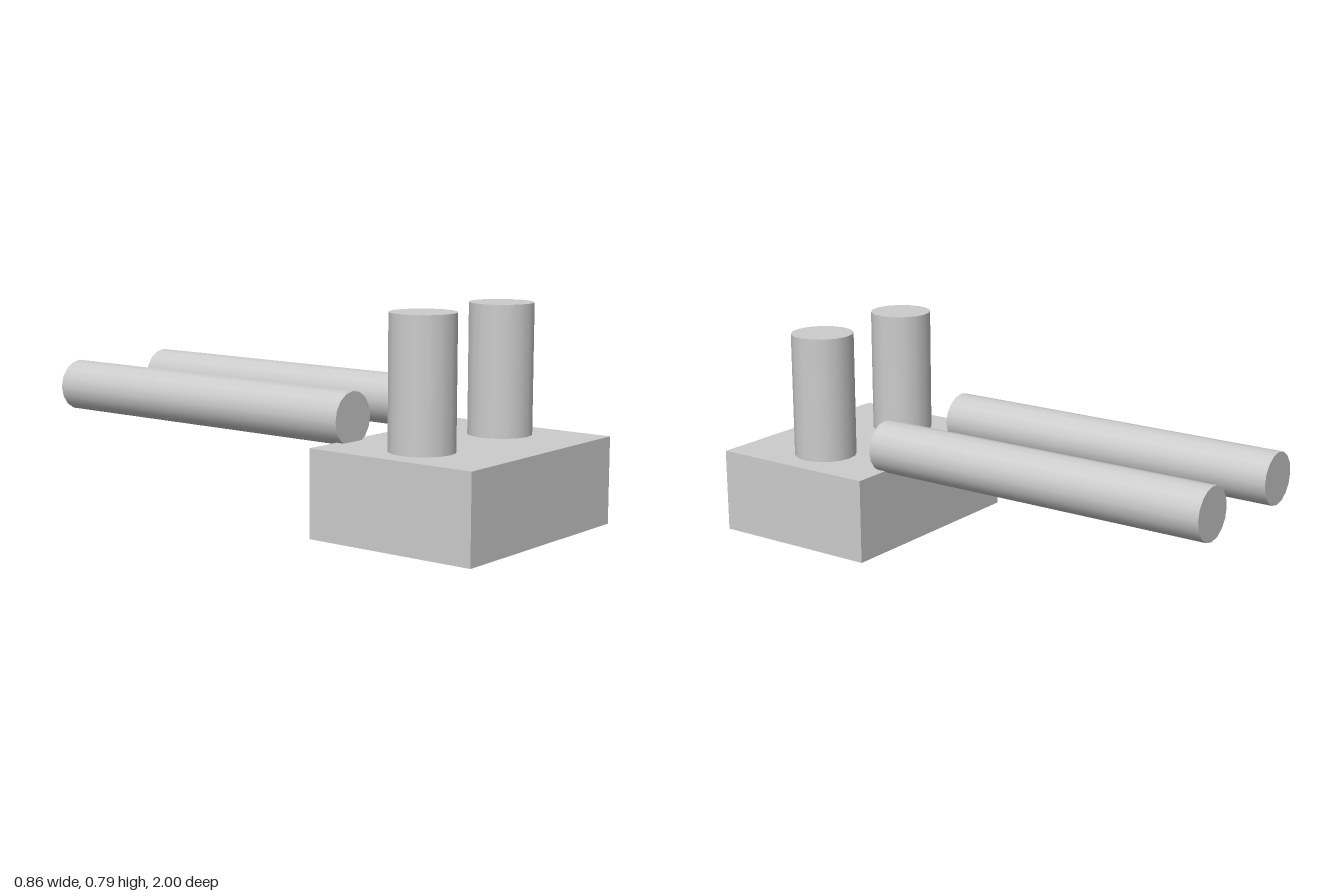
import * as THREE from 'three';

export function createModel() {
  const group = new THREE.Group();
  const grey = new THREE.MeshStandardMaterial({ color: 0xcccccc });
  grey.name = 'light grey';

  const add = (name, geometry, x, y, z) => {
    const mesh = new THREE.Mesh(geometry, grey);
    mesh.name = name;
    mesh.position.set(x, y, z);
    group.add(mesh);
  };

  // Base block at the front
  add('baseBlock', new THREE.BoxGeometry(0.862, 0.315, 0.664), 0, 0.1575, 0.668);

  // Upright posts, and long rods running to the back
  const post = new THREE.CylinderGeometry(0.117, 0.117, 0.47, 16);
  const rod = new THREE.CylinderGeometry(0.097, 0.097, 1.37, 16).rotateX(Math.PI / 2);
  for (const [side, s] of [['left', 1], ['right', -1]]) {
    add(side + 'Post', post, s * 0.235, 0.55, 0.665);
    add(side + 'Rod', rod, s * 0.235, 0.396, -0.315);
  }
  return group;
}
